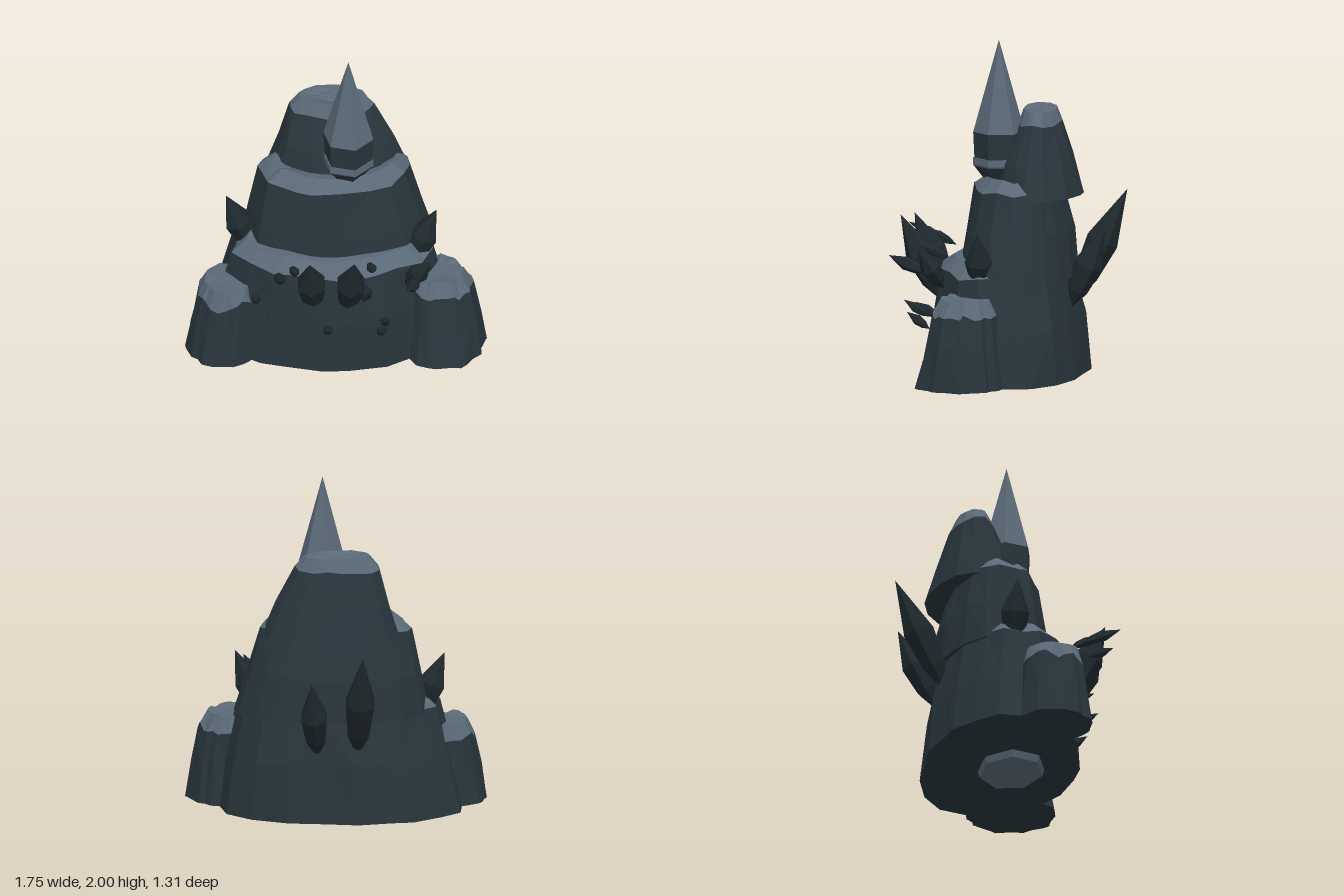
import * as THREE from 'three';

const flat = (name, color) => {
  const m = new THREE.MeshStandardMaterial({ color, flatShading: true });
  m.name = name;
  return m;
};

export function createModel() {
  const rock = flat('darkRock', 0x28353c);
  const ledge = flat('paleLedge', 0x5a6977);
  const shard = flat('darkCrystal', 0x1f292e);
  const model = new THREE.Group();
  model.name = 'rockySpire';

  let seed = 7;
  const rnd = () => {
    seed = (seed * 16807) % 2147483647;
    return (seed / 2147483647) * 2 - 1;
  };

  const addMesh = (parent, name, geo, mat) => {
    const mesh = new THREE.Mesh(geo, mat);
    mesh.name = name;
    parent.add(mesh);
    return mesh;
  };

  // Rock tier lofted from rings [y, xMin, xMax, zBack, zFront, zOfWidest, yJitter].
  // Bands from ring capFrom upward, and the lid, take the ledge colour.
  function rockTier(name, levels, capFrom, sides, rough, ridge) {
    const columns = Array.from({ length: sides }, () => [rnd() * ridge, rnd() * 0.35]);
    const rings = levels.map(([y, x0, x1, zb, zf, zm, yj = 0]) =>
      columns.map(([bump, turn], j) => {
        const a = ((j + turn) / sides) * Math.PI * 2;
        const k = 1 + bump + rnd() * rough;
        const c = Math.cos(a), s = Math.sin(a);
        return [
          (x0 + x1) / 2 + ((x1 - x0) / 2) * c * k,
          y + rnd() * yj,
          zm + (s > 0 ? zf - zm : zm - zb) * s * k,
        ];
      }));
    const parts = { rock: [], cap: [] };
    for (let i = 0; i < rings.length - 1; i++) {
      const out = i >= capFrom ? parts.cap : parts.rock;
      for (let j = 0; j < sides; j++) {
        const n = (j + 1) % sides;
        const a = rings[i][j], b = rings[i][n], c = rings[i + 1][j], d = rings[i + 1][n];
        if (j % 2) out.push(a, c, b, b, c, d);
        else out.push(a, c, d, a, d, b);
      }
    }
    // Lid and underside fans
    const fan = (ring, out, up) => {
      const mid = [0, 1, 2].map(k => ring.reduce((t, p) => t + p[k], 0) / sides);
      ring.forEach((p, j) => {
        const q = ring[(j + 1) % sides];
        if (up) out.push(mid, q, p);
        else out.push(mid, p, q);
      });
    };
    fan(rings[0], parts.rock, false);
    fan(rings[rings.length - 1], parts.cap, true);

    const group = new THREE.Group();
    group.name = name;
    for (const [key, mat] of [['rock', rock], ['cap', ledge]]) {
      const geo = new THREE.BufferGeometry();
      geo.setAttribute('position', new THREE.Float32BufferAttribute(parts[key].flat(), 3));
      geo.computeVertexNormals();
      addMesh(group, name + (key === 'rock' ? 'Cliff' : 'Cap'), geo, mat);
    }
    model.add(group);
  }

  // Stacked main tiers
  rockTier('lowerTier', [
    [0.04, -0.74, 0.72, -0.45, 0.45, -0.02],
    [0.35, -0.67, 0.67, -0.42, 0.43, 0.0, 0.04],
    [0.66, -0.59, 0.59, -0.35, 0.39, 0.02, 0.015],
    [0.74, -0.51, 0.5, -0.3, 0.31, 0.02, 0.015],
    [0.74, -0.3, 0.3, -0.2, 0.2, 0.0],
  ], 2, 22, 0.02, 0.035);
  rockTier('middleTier', [
    [0.63, -0.55, 0.59, -0.39, 0.28, -0.06],
    [0.88, -0.5, 0.51, -0.36, 0.25, -0.07, 0.03],
    [1.14, -0.45, 0.44, -0.29, 0.2, -0.08, 0.012],
    [1.21, -0.36, 0.36, -0.24, 0.13, -0.08, 0.015],
    [1.18, -0.25, 0.25, -0.2, 0.05, -0.08],
  ], 2, 18, 0.02, 0.03);
  rockTier('upperTier', [
    [1.1, -0.39, 0.42, -0.43, 0.09, -0.17],
    [1.3, -0.32, 0.34, -0.37, 0.04, -0.17, 0.02],
    [1.51, -0.26, 0.23, -0.3, -0.05, -0.18, 0.015],
    [1.59, -0.2, 0.18, -0.27, -0.08, -0.18, 0.008],
    [1.58, -0.12, 0.1, -0.22, -0.13, -0.18, 0.01],
  ], 2, 15, 0.02, 0.03);

  // Ridged side pillars
  rockTier('rightPillar', [
    [0.04, -0.87, -0.42, -0.03, 0.4, 0.17],
    [0.24, -0.84, -0.44, -0.01, 0.38, 0.17, 0.05],
    [0.42, -0.8, -0.46, 0.0, 0.355, 0.17, 0.05],
    [0.52, -0.76, -0.49, 0.03, 0.32, 0.17, 0.01],
    [0.515, -0.68, -0.56, 0.1, 0.24, 0.17],
  ], 2, 26, 0.02, 0.05);
  rockTier('leftPillar', [
    [0.04, 0.38, 0.87, -0.06, 0.46, 0.18],
    [0.26, 0.41, 0.84, -0.03, 0.41, 0.18, 0.05],
    [0.47, 0.43, 0.8, -0.01, 0.36, 0.18, 0.025],
    [0.56, 0.48, 0.74, 0.03, 0.31, 0.18, 0.012],
    [0.555, 0.56, 0.66, 0.1, 0.24, 0.18],
  ], 2, 26, 0.02, 0.05);

  // Pale slab under the base
  const slab = addMesh(model, 'undersideSlab', new THREE.CylinderGeometry(0.25, 0.23, 0.05, 7), ledge);
  slab.scale.z = 0.8;
  slab.position.set(-0.03, 0.025, 0.06);

  // Summit crystal: dark shaft, pale collar, pale point
  const summit = new THREE.Group();
  summit.name = 'summitCrystal';
  summit.position.set(0.08, 0, 0.055);
  summit.rotation.y = 0.25;
  model.add(summit);
  const lathe = (pts, sides) => new THREE.LatheGeometry(pts.map(p => new THREE.Vector2(...p)), sides);
  addMesh(summit, 'summitRoot', lathe([[0, 1.07], [0.145, 1.26]], 6), rock);
  addMesh(summit, 'summitCollar', lathe([[0.145, 1.26], [0.152, 1.27], [0.15, 1.31], [0.143, 1.31]], 6), ledge);
  addMesh(summit, 'summitShaft', lathe([[0.143, 1.31], [0.15, 1.46]], 6), rock);
  addMesh(summit, 'summitPoint', lathe([[0.15, 1.46], [0, 2]], 6), ledge);

  // Double-pointed crystals: [tail, tip, radius]
  function crystal(name, tail, tip, r) {
    const from = new THREE.Vector3(...tail), dir = new THREE.Vector3(...tip).sub(from);
    const len = dir.length();
    const geo = lathe([[0, 0], [r * 0.75, len * 0.25], [r, len * 0.55], [0, len]], 6);
    const mesh = addMesh(model, name, geo, shard);
    mesh.position.copy(from);
    mesh.quaternion.setFromUnitVectors(new THREE.Vector3(0, 1, 0), dir.normalize());
  }
  [
    [[-0.13, 0.45, 0.37], [-0.16, 0.93, 0.59], 0.09],
    [[0.06, 0.44, 0.38], [0.1, 0.96, 0.63], 0.09],
    [[0.4, 0.58, 0.33], [0.55, 0.82, 0.45], 0.06],
  ].forEach(c => crystal('frontCrystal', ...c));
  [
    [[-0.47, 0.56, -0.03], [-0.63, 0.97, -0.03], 0.085],
    [[0.43, 0.54, 0.1], [0.59, 0.94, 0.1], 0.085],
  ].forEach(c => crystal('sideCrystal', ...c));
  [
    [[-0.13, 0.42, -0.34], [-0.17, 1.1, -0.66], 0.095],
    [[0.1, 0.42, -0.35], [0.13, 0.92, -0.58], 0.085],
  ].forEach(c => crystal('backCrystal', ...c));

  // Small outlying shards
  [
    [[-0.35, 0.72, 0.41], [-0.31, 0.85, 0.65], 0.035],
    [[-0.26, 0.73, 0.36], [-0.23, 0.83, 0.55], 0.03],
    [[-0.47, 0.58, 0.42], [-0.47, 0.65, 0.57], 0.03],
    [[-0.04, 0.33, 0.42], [-0.06, 0.42, 0.57], 0.03],
    [[0.28, 0.32, 0.43], [0.24, 0.41, 0.57], 0.03],
    [[0.27, 0.39, 0.43], [0.29, 0.49, 0.58], 0.03],
    [[0.19, 0.73, 0.33], [0.22, 0.8, 0.5], 0.03],
    [[0.47, 0.68, 0.42], [0.41, 0.77, 0.65], 0.04],
    [[0.13, 0.56, 0.38], [0.19, 0.66, 0.53], 0.05],
  ].forEach(c => crystal('smallShard', ...c));

  return model;
}
